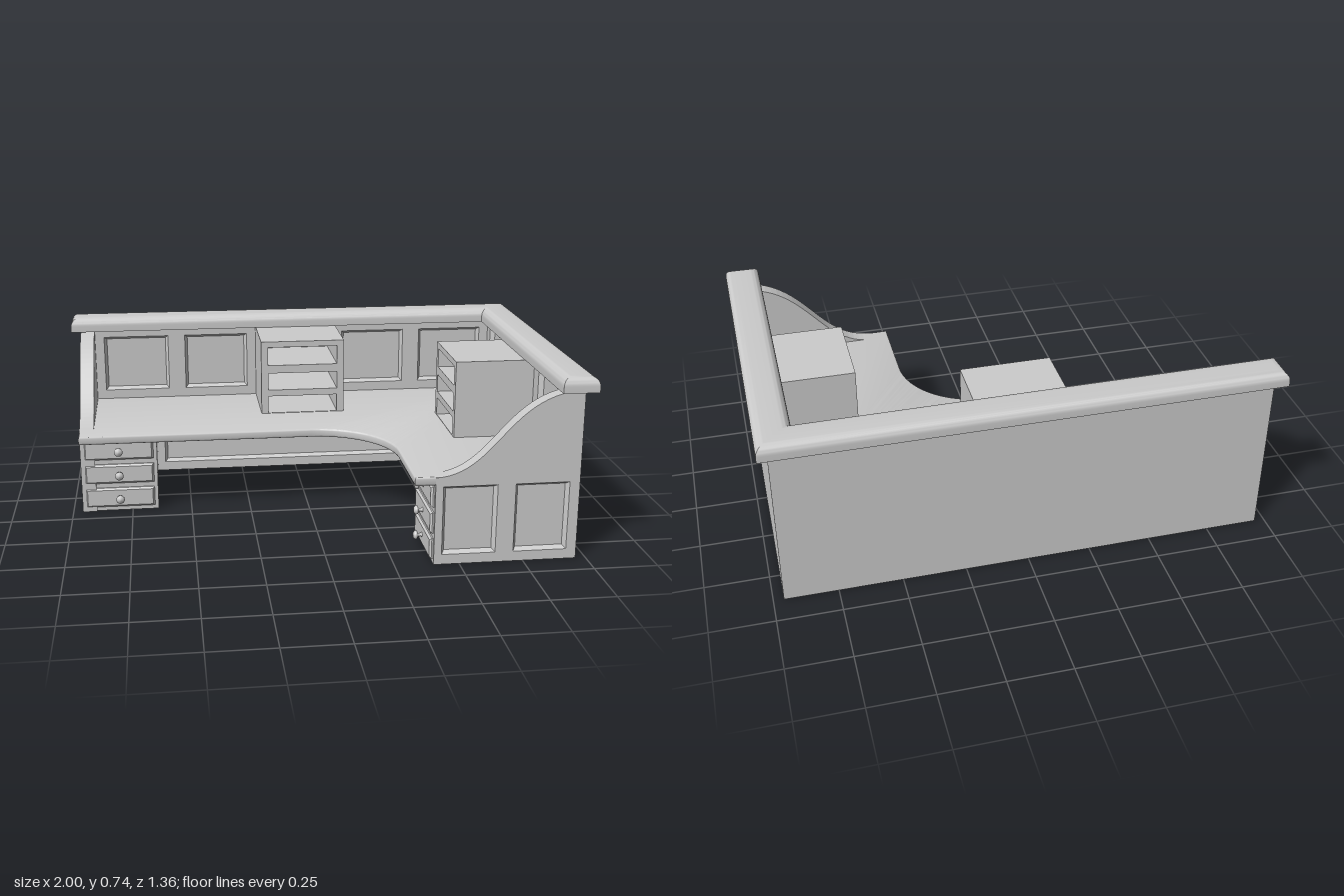
import * as THREE from 'three';
import { toCreasedNormals } from 'three/addons/utils/BufferGeometryUtils.js';

const grey = new THREE.MeshStandardMaterial({ color: 0xcccccc });
const WALL_TOP = 0.68, RECESS = 0.02;

function add(parent, name, geometry) {
  const mesh = new THREE.Mesh(geometry, grey);
  mesh.name = name;
  parent.add(mesh);
  return mesh;
}

function box(x0, x1, y0, y1, z0, z1) {
  return new THREE.BoxGeometry(x1 - x0, y1 - y0, z1 - z0)
    .translate((x0 + x1) / 2, (y0 + y1) / 2, (z0 + z1) / 2);
}

function polygon(points) {
  return new THREE.Shape(points.map(([x, y]) => new THREE.Vector2(x, y)));
}

function rect([x0, x1, y0, y1]) {
  return polygon([[x0, y0], [x1, y0], [x1, y1], [x0, y1]]);
}

function slab(shape, z0, z1) {
  return new THREE.ExtrudeGeometry(shape, { depth: z1 - z0, bevelEnabled: false, curveSegments: 24 })
    .translate(0, 0, z0);
}

// Sloping lip that runs from the frame down to a recessed panel
function lip([x0, x1, y0, y1]) {
  const i = 0.012;
  const outer = [[x0, y0], [x1, y0], [x1, y1], [x0, y1]];
  const inner = [[x0 + i, y0 + i], [x1 - i, y0 + i], [x1 - i, y1 - i], [x0 + i, y1 - i]];
  const pos = [];
  for (let k = 0; k < 4; k++) {
    const n = (k + 1) % 4;
    const a = [...outer[k], 0], b = [...outer[n], 0];
    const c = [...inner[n], -RECESS], d = [...inner[k], -RECESS];
    pos.push(...a, ...b, ...c, ...a, ...c, ...d);
  }
  const g = new THREE.BufferGeometry();
  g.setAttribute('position', new THREE.Float32BufferAttribute(pos, 3));
  g.computeVertexNormals();
  return g;
}

// Wall facing +z at z = 0, with recessed panels
function paneledWall(name, outline, panels) {
  const group = new THREE.Group();
  group.name = name;
  add(group, 'wallCore', slab(outline, -0.06, -RECESS));
  const frame = outline.clone();
  frame.holes = panels.map(rect);
  add(group, 'wallFrame', slab(frame, -RECESS, 0));
  panels.forEach((p) => add(group, 'panelLip', lip(p)));
  return group;
}

// End panel sweeping down from rail to desktop; at = outer edge, s = direction
function endPanel(name, at, s) {
  const u = (d) => at + s * d;
  const shape = new THREE.Shape();
  shape.moveTo(u(0), 0);
  shape.lineTo(u(0.56), 0);
  shape.lineTo(u(0.56), 0.352);
  shape.bezierCurveTo(u(0.34), 0.358, u(0.3), 0.63, u(0.06), 0.67);
  shape.lineTo(u(0), WALL_TOP);
  const panels = [[0.04, 0.25], [0.32, 0.53]].map(([a, b]) =>
    [Math.min(u(a), u(b)), Math.max(u(a), u(b)), 0.04, 0.315]);
  return paneledWall(name, shape, panels);
}

// Drawer stack facing +z; shift leaves room for the end panel
function pedestal(name, shift) {
  const group = new THREE.Group();
  group.name = name;
  add(group, 'cabinet', box(-0.13 + shift, 0.13 + shift, 0, 0.325, -0.5, 0.001));
  const knob = new THREE.LatheGeometry([[0.012, 0], [0.007, 0.006], [0.007, 0.018], [0.017, 0.022],
    [0.018, 0.029], [0.011, 0.036], [0, 0.038]].map(([x, y]) => new THREE.Vector2(x, y)), 20)
    .rotateX(Math.PI / 2);
  for (const y of [0.06, 0.165, 0.27]) {
    const front = new THREE.ExtrudeGeometry(rect([-0.137, 0.137, -0.034, 0.034]),
      { depth: 0.006, bevelThickness: 0.008, bevelSize: 0.008, bevelSegments: 1 });
    add(group, 'drawerFront', front).position.y = y;
    add(group, 'drawerKnob', knob).position.set(0, y, 0.012);
  }
  return group;
}

// Open shelf unit facing +z, closed behind by the wall
function shelfUnit(name) {
  const shape = rect([-0.18, 0.18, 0.35, 0.675]);
  shape.holes = [[0.357, 0.432], [0.46, 0.535], [0.57, 0.65]].map(([a, b]) => rect([-0.15, 0.15, a, b]));
  const mesh = new THREE.Mesh(slab(shape, -0.325, 0), grey);
  mesh.name = name;
  return mesh;
}

export function createModel() {
  const model = new THREE.Group();
  model.name = 'receptionDesk';
  const place = (part, x, z, turned) => {
    part.position.set(x, 0, z);
    if (turned) part.rotation.y = -Math.PI / 2; // local x becomes z, face looks to -x
    model.add(part);
  };

  // Back and side walls
  const spans = [[-0.86, -0.575], [-0.5, -0.22], [0.215, 0.5], [0.575, 0.86]];
  place(paneledWall('backWall', rect([-0.9, 0.96, 0, WALL_TOP]),
    [...spans.map(([a, b]) => [a, b, 0.395, 0.64]), [-0.605, 0.84, 0.04, 0.285]]), 0, -0.58);
  place(paneledWall('sideWall', rect([-0.58, 0.58, 0, WALL_TOP]),
    [[-0.53, -0.25, 0.395, 0.64], [0.24, 0.52, 0.395, 0.64], [-0.53, 0.285, 0.04, 0.285]]), 0.9, 0, true);

  // Curved end panels
  place(endPanel('frontEndPanel', 0.96, -1), 0, 0.64);
  place(endPanel('rightEndPanel', -0.64, 1), -0.96, 0, true);

  // Desktop with the rounded inner corner
  const top = new THREE.Shape();
  top.moveTo(-0.952, -0.6);
  top.lineTo(-0.952, -0.016);
  top.lineTo(0, -0.016);
  top.absarc(0, 0.312, 0.328, -Math.PI / 2, 0, false);
  top.lineTo(0.328, 0.63);
  top.lineTo(0.92, 0.63);
  top.lineTo(0.92, -0.6);
  const topGeo = new THREE.ExtrudeGeometry(top, {
    depth: 0.019, bevelThickness: 0.008, bevelSize: 0.007, bevelSegments: 3, curveSegments: 32,
  }).rotateX(Math.PI / 2).translate(0, 0.347, 0);
  add(model, 'desktop', toCreasedNormals(topGeo, 0.6));

  // Drawer pedestals and shelf units, one per wing
  place(pedestal('rightPedestal', 0.03), -0.8, -0.09);
  place(pedestal('leftPedestal', -0.03), 0.4, 0.48, true);
  place(shelfUnit('backShelfUnit'), 0, -0.26);
  place(shelfUnit('sideShelfUnit'), 0.575, -0.005, true);

  // Rounded rail over both walls, flat underneath
  const r = 0.035;
  const rail = polygon([[-1 + r, -0.68 + r], [1 - r, -0.68 + r], [1 - r, 0.68 - r],
    [0.86 + r, 0.68 - r], [0.86 + r, -0.54 - r], [-1 + r, -0.54 - r]]);
  const railGeo = new THREE.ExtrudeGeometry(rail, {
    depth: 0.025, bevelThickness: r, bevelSize: r, bevelSegments: 8,
  }).rotateX(Math.PI / 2).translate(0, 0.735 - r, 0);
  const p = railGeo.attributes.position;
  for (let i = 0; i < p.count; i++) p.setY(i, Math.max(p.getY(i), 0.675));
  add(model, 'topRail', toCreasedNormals(railGeo, 0.6));

  return model;
}
